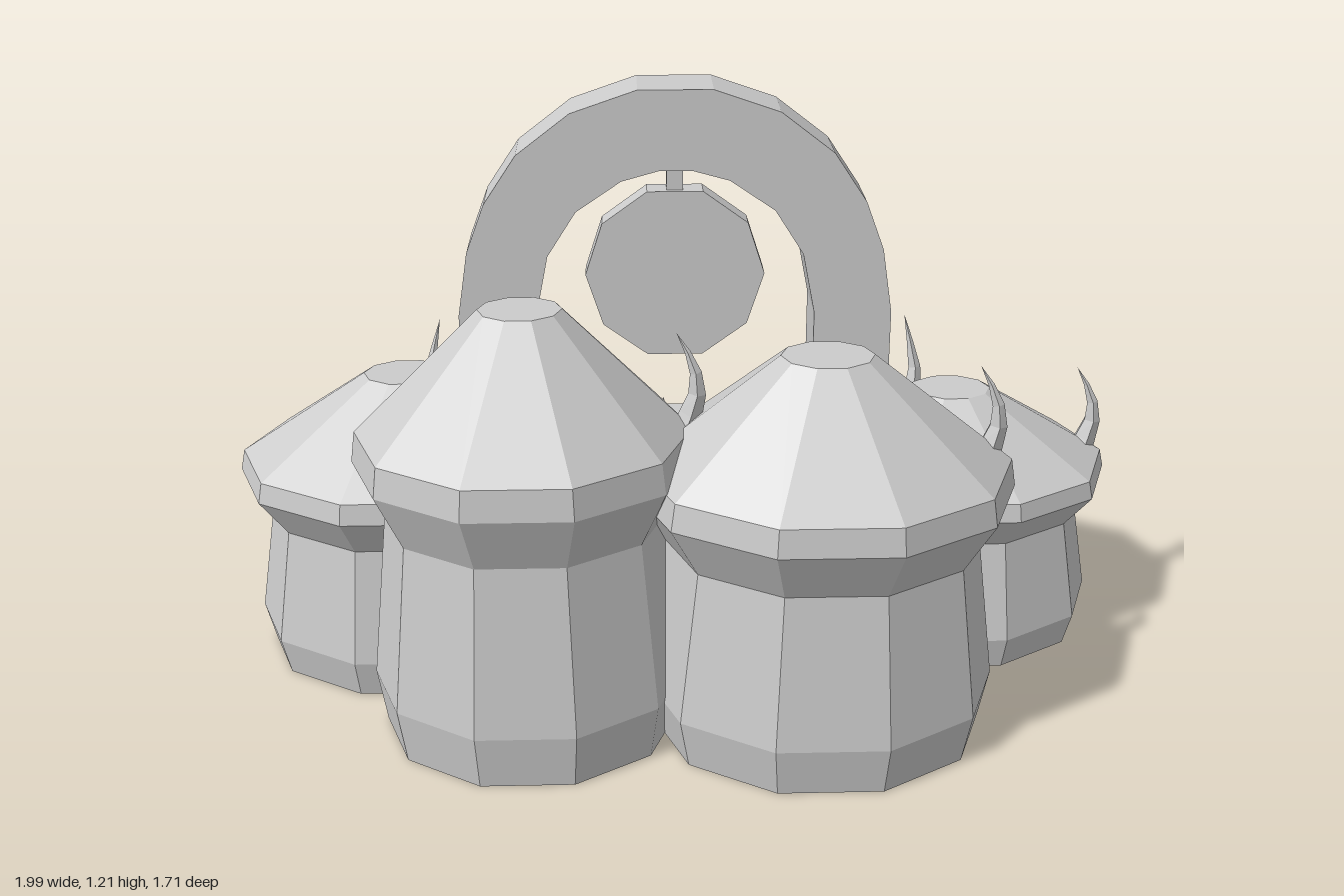
import * as THREE from 'three';

export function createModel() {
  const model = new THREE.Group();
  const clay = new THREE.MeshStandardMaterial({ color: 0xcccccc, flatShading: true, side: THREE.DoubleSide });
  clay.name = 'palegrey';

  const add = (parent, name, geometry, x = 0, y = 0, z = 0) => {
    const mesh = new THREE.Mesh(geometry, clay);
    mesh.name = name;
    mesh.position.set(x, y, z);
    parent.add(mesh);
    return mesh;
  };
  // Ten-sided turned body with corners on the x axis
  const turned = (profile) => new THREE.LatheGeometry(
    profile.map(([r, y]) => new THREE.Vector2(r, y)), 10).rotateY(Math.PI / 2);

  // Curved horn: a tube whose rings shrink to a point
  const horn = (points, radius, rings = 5, sides = 5) => {
    const curve = new THREE.CatmullRomCurve3(points.map((p) => new THREE.Vector3(...p)));
    const g = new THREE.TubeGeometry(curve, rings, radius, sides);
    const pos = g.attributes.position, v = new THREE.Vector3();
    for (let i = 0; i < pos.count; i++) {
      const t = Math.floor(i / (sides + 1)) / rings;
      v.fromBufferAttribute(pos, i).lerp(curve.getPointAt(t), t);
      pos.setXYZ(i, v.x, v.y, v.z);
    }
    g.computeVertexNormals();
    return g;
  };

  // Huts: centre x, z, eave radius along x and z, height, horn offset
  const huts = [
    [-0.615, 0.14, 0.382, 0.32, 0.66, 0.32],
    [-0.334, 0.51, 0.353, 0.312, 0.935, 0.334],
    [0.28, 0.535, 0.396, 0.335, 0.84, 0.335],
    [0.623, 0.07, 0.369, 0.314, 0.58, 0.317],
  ];
  for (const [x, z, rx, rz, h, hornX] of huts) {
    const hut = new THREE.Group();
    hut.name = 'hut';
    hut.position.set(x, 0, z);
    model.add(hut);
    const wall = turned([[0.885, 0], [0.94, 0.127], [0.83, 0.52]]);
    const roof = turned([[0.83, 0.52], [1, 0.652], [0.975, 0.722], [0.24, 1], [0, 1]]);
    add(hut, 'wall', wall.scale(rx, h, rz));
    add(hut, 'roof', roof.scale(rx, h, rz));
    // Door panel on the back, half sunk in the wall
    add(hut, 'doorPanel', new THREE.BoxGeometry(0.18, 0.19, 0.07), 0, 0.115, -rz * 0.951 * 0.925 + 0.035);
    add(hut, 'roofHorn', horn([[-0.01, -0.03, 0], [0.02, 0.06, 0], [0.012, 0.12, 0], [-0.022, 0.185, -0.005]], 0.032),
      hornX, h * 0.722 + 0.015, -0.01);
  }

  // Arch
  const outer = [[0.53, 0], [0.53, 0.65], [0.505, 0.81], [0.46, 0.93], [0.38, 1.05], [0.25, 1.15], [0.09, 1.205]];
  const inner = [[0.34, 0], [0.34, 0.65], [0.31, 0.8], [0.24, 0.91], [0.13, 0.985], [0.04, 1.01]];
  const flip = (list) => list.map(([x, y]) => [-x, y]).reverse();
  const outline = [...outer, ...flip(outer), ...flip(inner).reverse(), ...[...inner].reverse()];
  const archShape = new THREE.Shape(outline.map(([x, y]) => new THREE.Vector2(x, y)));
  add(model, 'arch', new THREE.ExtrudeGeometry(archShape, { depth: 0.17, bevelEnabled: false }), 0, 0, -0.427);

  // Hanging gong with a boss on its back
  const gong = new THREE.Group();
  gong.name = 'gong';
  gong.position.set(0, 0.737, -0.34);
  model.add(gong);
  const disc = (r, depth) => new THREE.CylinderGeometry(r, r, depth, 10).rotateX(Math.PI / 2).rotateZ(Math.PI / 10);
  add(gong, 'gongDisc', disc(0.22, 0.07));
  add(gong, 'gongBoss', disc(0.055, 0.03), 0, 0, -0.045);
  add(gong, 'gongHanger', new THREE.BoxGeometry(0.04, 0.1, 0.04), 0, 0.24, 0);

  // Horned pots either side of the arch
  for (const s of [-1, 1]) {
    const pot = new THREE.Group();
    pot.name = 'hornedPot';
    pot.position.set(s * 0.5, 0, -0.438);
    model.add(pot);
    add(pot, 'potBody', turned([[0.125, 0], [0.15, 0.125], [0.095, 0.235], [0, 0.235]]));
    add(pot, 'potHorn', horn([[s * 0.02, 0.17, 0.005], [s * 0.09, 0.27, 0], [s * 0.13, 0.39, -0.02], [s * 0.1, 0.565, -0.04]], 0.05, 6));
  }

  // Brazier with three small spikes
  const brazier = new THREE.Group();
  brazier.name = 'brazier';
  brazier.position.set(0.02, 0, -0.692);
  model.add(brazier);
  add(brazier, 'brazierBowl', turned([[0.115, 0], [0.128, 0.065], [0.105, 0.085], [0.175, 0.145], [0.178, 0.165], [0, 0.165]]));
  for (const [x, z, h] of [[-0.04, -0.026, 0.08], [0.042, -0.026, 0.08], [0, 0.047, 0.055]]) {
    add(brazier, 'brazierSpike', new THREE.ConeGeometry(0.02, h, 4), x, 0.165 + h / 2, z);
  }
  return model;
}
